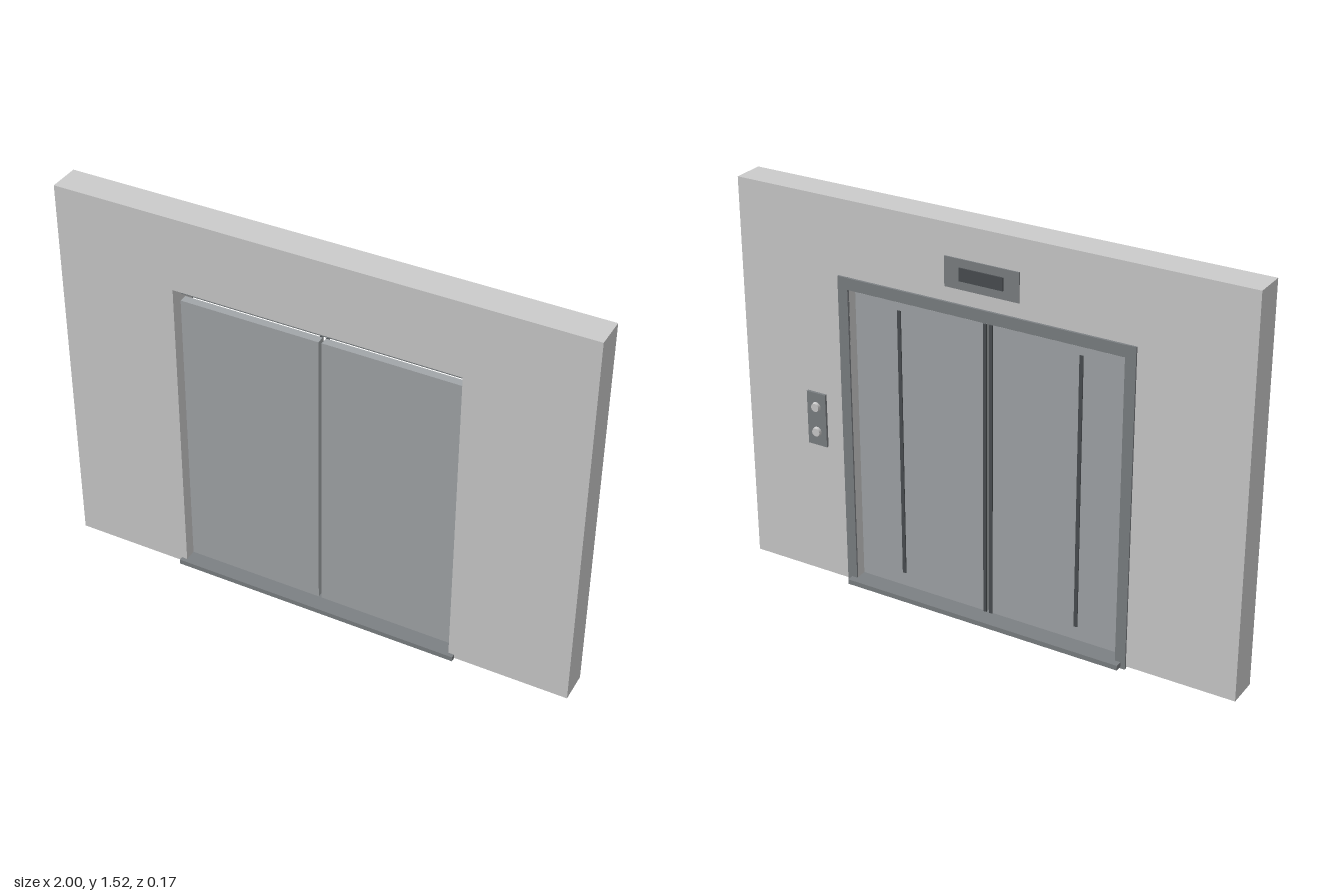
import * as THREE from 'three';

const WALL_BACK = -0.053, WALL_FRONT = 0.067;
const OPEN_X = 0.543, OPEN_TOP = 1.235;

export function createModel() {
  const root = new THREE.Group();
  const mat = (color) => new THREE.MeshStandardMaterial({ color });
  const wallMat = mat(0xcccccc), doorMat = mat(0xa2a6a9), frameMat = mat(0x7c8083);
  const darkMat = mat(0x4a4e51), buttonMat = mat(0xcccccc);

  // Box given by its limits on each axis
  const box = (name, material, [x0, x1], [y0, y1], [z0, z1], parent = root) => {
    const mesh = new THREE.Mesh(new THREE.BoxGeometry(x1 - x0, y1 - y0, z1 - z0), material);
    mesh.position.set((x0 + x1) / 2, (y0 + y1) / 2, (z0 + z1) / 2);
    mesh.name = name;
    parent.add(mesh);
    return mesh;
  };
  // Mirrors a range across x = 0 for the right side
  const side = (s, a, b) => (s > 0 ? [a, b] : [-b, -a]);

  // Wall: two side panels and the lintel over the opening
  const wall = new THREE.Group();
  wall.name = 'wall';
  root.add(wall);
  for (const s of [1, -1]) {
    box(s > 0 ? 'leftWall' : 'rightWall', wallMat, side(s, OPEN_X, 1), [0.01, 1.52], [WALL_BACK, WALL_FRONT], wall);
  }
  box('lintel', wallMat, [-OPEN_X, OPEN_X], [OPEN_TOP, 1.52], [WALL_BACK, WALL_FRONT], wall);

  // Sliding doors with a narrow gap, edge strips and inlaid vertical trims
  for (const s of [1, -1]) {
    const door = new THREE.Group();
    door.name = s > 0 ? 'leftDoor' : 'rightDoor';
    root.add(door);
    box('doorPanel', doorMat, side(s, 0.006, OPEN_X), [0.025, 1.165], [-0.012, 0.02], door);
    box('doorEdgeStrip', darkMat, side(s, 0.006, 0.018), [0.025, 1.165], [-0.018, -0.011], door);
    box('doorTrim', darkMat, side(s, 0.353, 0.367), [0.08, 1.135], [-0.016, -0.011], door);
  }

  // Door frame on the landing side
  const frame = new THREE.Group();
  frame.name = 'doorFrame';
  root.add(frame);
  for (const s of [1, -1]) {
    box('jamb', frameMat, side(s, OPEN_X, 0.583), [0, OPEN_TOP], [-0.06, -0.05], frame);
  }
  box('header', frameMat, [-OPEN_X, OPEN_X], [1.19, OPEN_TOP - 0.001], [-0.06, 0.015], frame);

  // Sill running through the opening and standing out on both sides
  box('sill', frameMat, [-0.565, 0.565], [0.006, 0.025], [-0.087, 0.083]);
  box('sillBase', darkMat, [-0.58, 0.58], [0, 0.008], [-0.056, 0.025]);

  // Floor indicator over the door
  const indicator = new THREE.Group();
  indicator.name = 'floorIndicator';
  root.add(indicator);
  box('indicatorPlate', frameMat, [-0.145, 0.145], [1.29, 1.4], [-0.058, -0.05], indicator);
  box('indicatorScreen', darkMat, [-0.086, 0.086], [1.322, 1.37], [-0.063, -0.057], indicator);

  // Call panel with two round buttons
  const panel = new THREE.Group();
  panel.name = 'callPanel';
  root.add(panel);
  box('panelPlate', frameMat, [0.655, 0.735], [0.545, 0.755], [-0.063, -0.05], panel);
  for (const y of [0.6, 0.7]) {
    const button = new THREE.Mesh(new THREE.CylinderGeometry(0.016, 0.019, 0.012, 24), buttonMat);
    button.rotation.x = -Math.PI / 2;
    button.position.set(0.695, y, -0.068);
    button.name = 'callButton';
    panel.add(button);
  }
  return root;
}
